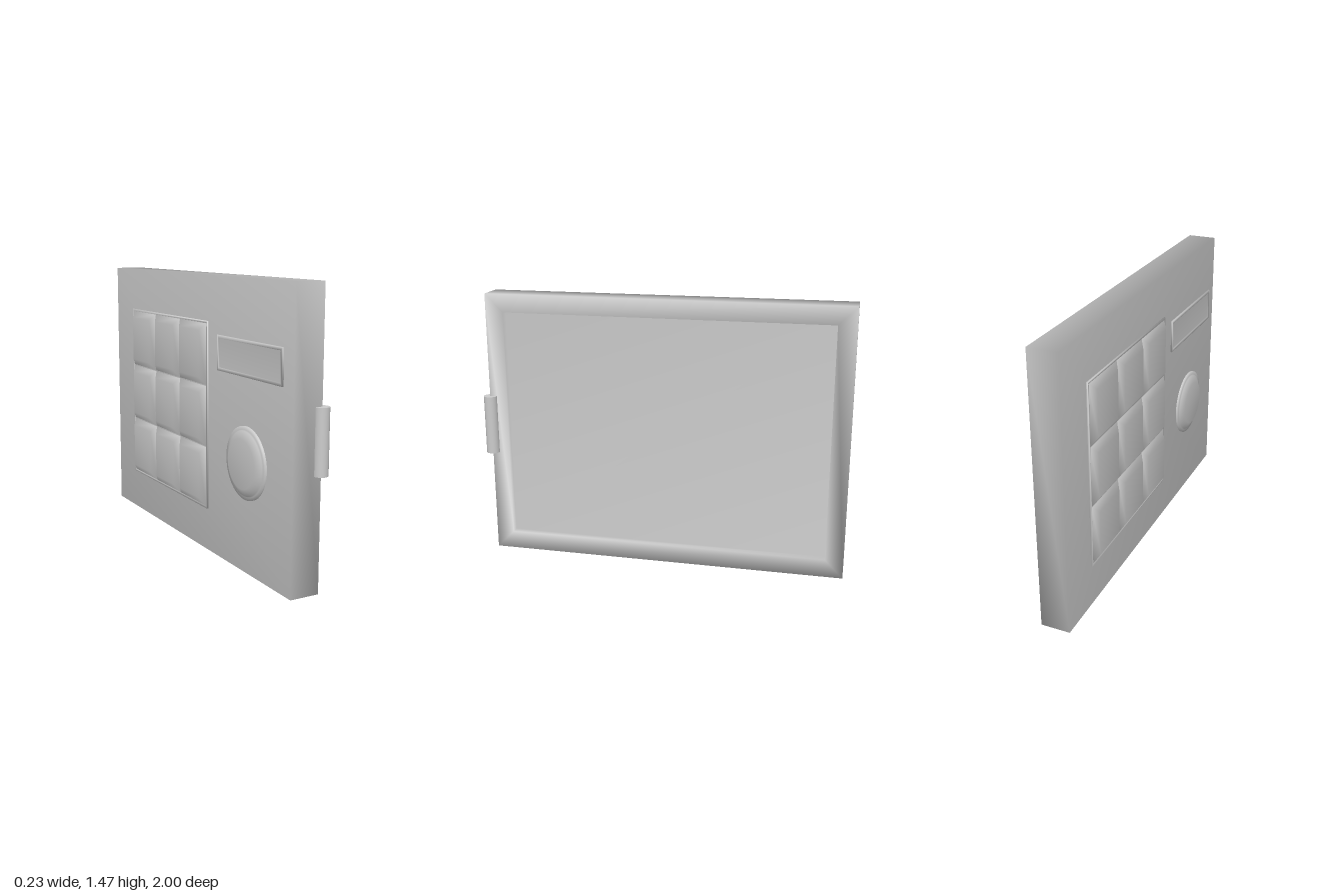
import * as THREE from 'three';

const material = new THREE.MeshStandardMaterial({ color: 0xcccccc });

// Lofts rectangular rings [x, z0, z1, y0, y1], ordered from the -x cap to the +x cap.
function loft(rings) {
  const positions = [], index = [];
  for (const [x, z0, z1, y0, y1] of rings) {
    positions.push(x, y0, z1, x, y0, z0, x, y1, z0, x, y1, z1);
  }
  for (let i = 0; i < rings.length - 1; i++) {
    for (let k = 0; k < 4; k++) {
      const a = i * 4 + k, b = i * 4 + (k + 1) % 4;
      index.push(a, b, b + 4, a, b + 4, a + 4);
    }
  }
  const n = (rings.length - 1) * 4;
  index.push(0, 2, 1, 0, 3, 2, n, n + 1, n + 2, n, n + 2, n + 3);
  const geometry = new THREE.BufferGeometry();
  geometry.setAttribute('position', new THREE.Float32BufferAttribute(positions, 3));
  geometry.setIndex(index);
  geometry.computeVertexNormals();
  return geometry;
}

// A ring at x, inset by m from the rectangle r = [z0, z1, y0, y1].
const ring = (x, r, m = 0) => [x, r[0] + m, r[1] - m, r[2] + m, r[3] - m];

export function createModel() {
  const model = new THREE.Group();
  const add = (name, geometry, parent = model) => {
    const mesh = new THREE.Mesh(geometry, material);
    mesh.name = name;
    parent.add(mesh);
    return mesh;
  };

  // Door slab with a recessed panel on its +x face
  const door = [-1, 0.965, 0, 1.465];
  add('doorBody', loft([
    ring(-0.082, door), ring(0.074, door), ring(0.074, door, 0.098), ring(0.03, door, 0.098),
  ]));

  // Vertical bar handle on the front corner
  const handle = add('handle', new THREE.CylinderGeometry(0.037, 0.037, 0.324, 32));
  handle.position.set(0.073, 0.738, 0.963);

  // Thin rimmed tray, open toward -x
  const tray = (name, r, rim, parent) => add(name, loft([
    ring(-0.084, r, rim), ring(-0.09, r, rim), ring(-0.09, r), ring(-0.07, r),
  ]), parent);

  // Keypad with 3 x 3 bevelled keys
  const keypad = new THREE.Group();
  keypad.name = 'keypad';
  model.add(keypad);
  tray('keypadRim', [-0.755, 0.175, 0.23, 1.23], 0.01, keypad);
  const dz = 0.91 / 3, dy = 0.98 / 3;
  for (let i = 0; i < 3; i++) {
    for (let j = 0; j < 3; j++) {
      const z = -0.745 + i * dz, y = 0.24 + j * dy;
      const r = [z, z + dz, y, y + dy];
      add('key', loft([ring(-0.114, r, 0.04), ring(-0.089, r, 0.003), ring(-0.08, r, 0.003)]), keypad);
    }
  }

  // Display window
  tray('displayWindow', [0.28, 0.88, 0.99, 1.17], 0.016);

  // Round dial with a bevelled rim
  const profile = [[0.185, 0], [0.185, 0.018], [0.168, 0.018], [0.163, 0.024], [0.125, 0.044], [0, 0.044]]
    .map(([x, y]) => new THREE.Vector2(x, y));
  const dial = add('dial', new THREE.LatheGeometry(profile, 40));
  dial.rotation.z = Math.PI / 2;
  dial.position.set(-0.073, 0.565, 0.565);

  return model;
}
